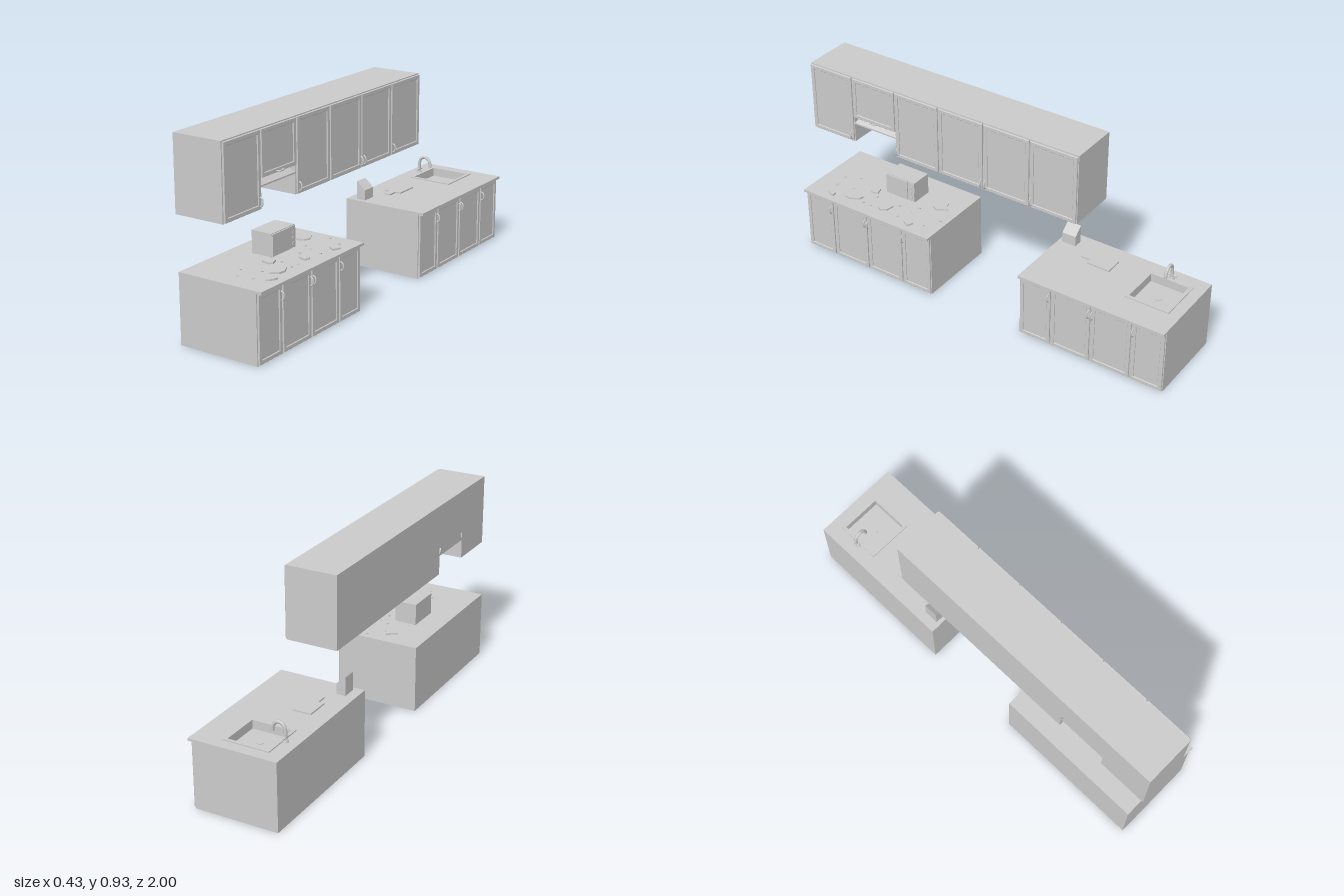
import * as THREE from 'three';

const grey = new THREE.MeshStandardMaterial({ color: 0xcccccc });

function add(parent, name, geometry) {
  const mesh = new THREE.Mesh(geometry, grey);
  mesh.name = name;
  parent.add(mesh);
  return mesh;
}

// Box given by its limits on each axis
function box(parent, name, x0, x1, y0, y1, z0, z1) {
  const mesh = add(parent, name, new THREE.BoxGeometry(x1 - x0, y1 - y0, z1 - z0));
  mesh.position.set((x0 + x1) / 2, (y0 + y1) / 2, (z0 + z1) / 2);
  return mesh;
}

function rect(x0, x1, y0, y1, Type = THREE.Shape) {
  return new Type([[x0, y0], [x1, y0], [x1, y1], [x0, y1]].map(p => new THREE.Vector2(...p)));
}

// Horizontal slab with a rectangular opening; both rectangles are [x0, x1, z0, z1]
function slabWithHole(parent, name, o, h, y0, y1) {
  const shape = rect(o[0], o[1], -o[3], -o[2]);
  shape.holes.push(rect(h[0], h[1], -h[3], -h[2], THREE.Path));
  const geometry = new THREE.ExtrudeGeometry(shape, { depth: y1 - y0, bevelEnabled: false });
  const mesh = add(parent, name, geometry.rotateX(-Math.PI / 2));
  mesh.position.y = y0;
}

// Framed door facing +x with a recessed panel
function door(parent, x, y0, y1, z0, z1) {
  const g = new THREE.Group();
  g.name = 'door';
  const w = (z1 - z0) / 2 - 0.003, h = (y1 - y0) / 2 - 0.003, f = 0.019;
  const shape = rect(-w, w, -h, h);
  shape.holes.push(rect(-w + f, w - f, -h + f, h - f, THREE.Path));
  const frame = add(g, 'doorFrame', new THREE.ExtrudeGeometry(shape, {
    depth: 0.006, bevelEnabled: true, bevelSize: 0.002, bevelThickness: 0.002, bevelSegments: 1, bevelOffset: -0.002,
  }).rotateY(Math.PI / 2));
  frame.position.x = 0.002;
  box(g, 'doorPanel', 0, 0.005, -h + f / 2, h - f / 2, -w + f / 2, w - f / 2);
  g.position.set(x, (y0 + y1) / 2, (z0 + z1) / 2);
  parent.add(g);
}

// Bow handle projecting toward +x
function handle(parent, x, y, z, horizontal = false) {
  const s = 0.02;
  const curve = new THREE.CatmullRomCurve3([[0, -s], [0.011, -s * 0.75], [0.015, 0], [0.011, s * 0.75], [0, s]]
    .map(([a, b]) => new THREE.Vector3(a, b, 0)));
  const mesh = add(parent, 'handle', new THREE.TubeGeometry(curve, 16, 0.0035, 8));
  mesh.position.set(x, y, z);
  if (horizontal) mesh.rotation.x = Math.PI / 2;
}

const SINK = [-0.138, 0.068, -0.938, -0.737];

function baseCabinet(name, zc, hole) {
  const g = new THREE.Group();
  g.name = name;
  const z0 = zc - 0.3675, z1 = zc + 0.3675;
  if (hole) {
    box(g, 'cabinetBody', -0.215, 0.186, 0, 0.29, z0, z1);
    slabWithHole(g, 'cabinetTop', [-0.215, 0.186, z0, z1], hole, 0.29, 0.314);
    slabWithHole(g, 'countertop', [-0.215, 0.212, z0, z1], hole, 0.314, 0.326);
  } else {
    box(g, 'cabinetBody', -0.215, 0.186, 0, 0.314, z0, z1);
    box(g, 'countertop', -0.215, 0.212, 0.314, 0.326, z0, z1);
  }
  const edges = [-0.3675, -0.204, 0, 0.204, 0.3675];
  for (let i = 0; i < 4; i++) door(g, 0.186, 0.002, 0.313, zc + edges[i], zc + edges[i + 1]);
  for (const z of [-0.213, -0.009, 0.009, 0.213]) handle(g, 0.195, 0.26, zc + z);
  return g;
}

function wallCabinets() {
  const g = new THREE.Group();
  g.name = 'wallCabinets';
  const step = 1.465 / 6;
  for (let i = 0; i < 6; i++) {
    const z1 = 1 - i * step, z0 = z1 - step, y0 = i === 1 ? 0.72 : 0.59;
    box(g, 'wallCabinet', -0.19, 0.054, y0, 0.932, z0, z1);
    door(g, 0.054, y0, 0.931, z0, z1);
  }
  for (const z of [0.768, 0.498, 0.031, 0.009, -0.233]) handle(g, 0.062, 0.625, z);
  handle(g, 0.062, 0.73, 0.634, true);

  // Range hood: a box narrowed toward the top
  const geometry = new THREE.BoxGeometry(0.244, 0.032, step).toNonIndexed();
  const p = geometry.attributes.position;
  for (let i = 0; i < p.count; i++) {
    if (p.getY(i) < 0) continue;
    p.setZ(i, p.getZ(i) * 0.86);
    if (p.getX(i) > 0) p.setX(i, 0.085);
  }
  geometry.computeVertexNormals();
  add(g, 'rangeHood', geometry).position.set(-0.068, 0.704, 1 - step * 1.5);
  box(g, 'hoodLip', -0.19, 0.054, 0.682, 0.689, 1 - 2 * step, 1 - step);
  return g;
}

function sinkAndFaucet() {
  const g = new THREE.Group();
  g.name = 'sink';
  slabWithHole(g, 'sinkRim', [-0.146, 0.076, -0.946, -0.729], [-0.131, 0.061, -0.931, -0.744], 0.325, 0.331);
  slabWithHole(g, 'sinkWalls', SINK, [-0.131, 0.061, -0.931, -0.744], 0.288, 0.326);
  const drain = add(g, 'drain', new THREE.CylinderGeometry(0.014, 0.014, 0.003, 20));
  drain.position.set(-0.035, 0.2915, -0.8375);

  const base = add(g, 'faucetBase', new THREE.CylinderGeometry(0.011, 0.014, 0.012, 20));
  base.position.set(-0.156, 0.331, -0.833);
  const path = new THREE.CatmullRomCurve3([[-0.156, 0.33], [-0.156, 0.375], [-0.148, 0.4], [-0.126, 0.411],
    [-0.106, 0.401], [-0.096, 0.382], [-0.094, 0.365]].map(([x, y]) => new THREE.Vector3(x, y, -0.833)));
  add(g, 'faucetSpout', new THREE.TubeGeometry(path, 32, 0.0075, 12));
  const tip = add(g, 'faucetTip', new THREE.CylinderGeometry(0.0075, 0.0075, 0.004, 12));
  tip.position.set(-0.094, 0.365, -0.833);
  const lever = add(g, 'faucetLever', new THREE.CylinderGeometry(0.004, 0.004, 0.05, 12));
  lever.rotation.x = Math.PI / 2;
  lever.position.set(-0.156, 0.345, -0.833);
  return g;
}

function microwave() {
  const g = new THREE.Group();
  g.name = 'microwave';
  box(g, 'microwaveBody', -0.1, 0.004, 0.331, 0.435, 0.455, 0.62);
  box(g, 'microwaveDoor', 0.004, 0.011, 0.334, 0.432, 0.495, 0.619);
  box(g, 'controlPanel', 0.004, 0.009, 0.334, 0.432, 0.456, 0.493);
  for (const x of [-0.09, -0.008]) for (const z of [0.467, 0.608])
    box(g, 'foot', x - 0.005, x + 0.005, 0.325, 0.332, z - 0.005, z + 0.005);
  for (let i = 0; i < 3; i++) box(g, 'button', 0.009, 0.012, 0.35 + i * 0.025, 0.36 + i * 0.025, 0.468, 0.481);
  return g;
}

// Flat broken pieces and crumbs lying on the counter
function fragments() {
  const g = new THREE.Group();
  g.name = 'fragments';
  const pieces = [[-0.035, 0.335, 0.043, 0.052, 0], [0.16, 0.375, 0.025, 0.027, 1], [0.12, 0.54, 0.034, 0.036, 2],
    [0.127, 0.73, 0.04, 0.053, 3], [0.162, 0.832, 0.026, 0.028, 4], [0.026, 0.67, 0.034, 0.033, 5]];
  for (const [x, z, rx, rz, k] of pieces) {
    const pts = [];
    for (let i = 0; i < 6; i++) {
      const a = i * Math.PI / 3 + 0.35 * Math.sin(k * 2.1 + i * 1.7);
      const r = 0.85 + 0.2 * Math.sin(k * 1.3 + i * 2.4);
      pts.push(new THREE.Vector2(rx * r * Math.cos(a), rz * r * Math.sin(a)));
    }
    const geometry = new THREE.ExtrudeGeometry(new THREE.Shape(pts), { depth: 0.008, bevelEnabled: false });
    add(g, 'fragment', geometry.rotateX(-Math.PI / 2)).position.set(x, 0.329, z);
  }
  const crumbs = [[0.135, 0.31], [0.06, 0.265], [0.07, 0.43], [0.14, 0.455], [0.065, 0.5], [0.14, 0.615],
    [0.066, 0.635], [0.138, 0.66], [0.07, 0.77], [0.09, 0.86], [0.03, 0.41], [-0.02, 0.8], [0.02, 0.87]];
  crumbs.forEach(([x, z], i) => {
    const mesh = add(g, 'crumb', new THREE.BoxGeometry(0.01, 0.005, 0.008));
    mesh.position.set(x, 0.328, z);
    mesh.rotation.y = i * 1.1;
  });
  return g;
}

// Knife block with a slanted top, and a cutting board with a grip
function counterItems() {
  const g = new THREE.Group();
  g.name = 'counterItems';
  const profile = new THREE.Shape([[-0.168, 0.325], [-0.123, 0.325], [-0.123, 0.376], [-0.168, 0.414]]
    .map(p => new THREE.Vector2(...p)));
  add(g, 'knifeBlock', new THREE.ExtrudeGeometry(profile, { depth: 0.07, bevelEnabled: false })).position.z = -0.355;
  box(g, 'cuttingBoard', -0.128, -0.04, 0.325, 0.333, -0.582, -0.468);
  box(g, 'boardGrip', -0.1, -0.067, 0.325, 0.333, -0.468, -0.42);
  return g;
}

export function createModel() {
  const model = new THREE.Group();
  model.name = 'kitchen';
  model.add(
    baseCabinet('counterCabinet', 0.5975), baseCabinet('sinkCabinet', -0.6325, SINK),
    wallCabinets(), sinkAndFaucet(), microwave(), fragments(), counterItems(),
  );
  return model;
}
